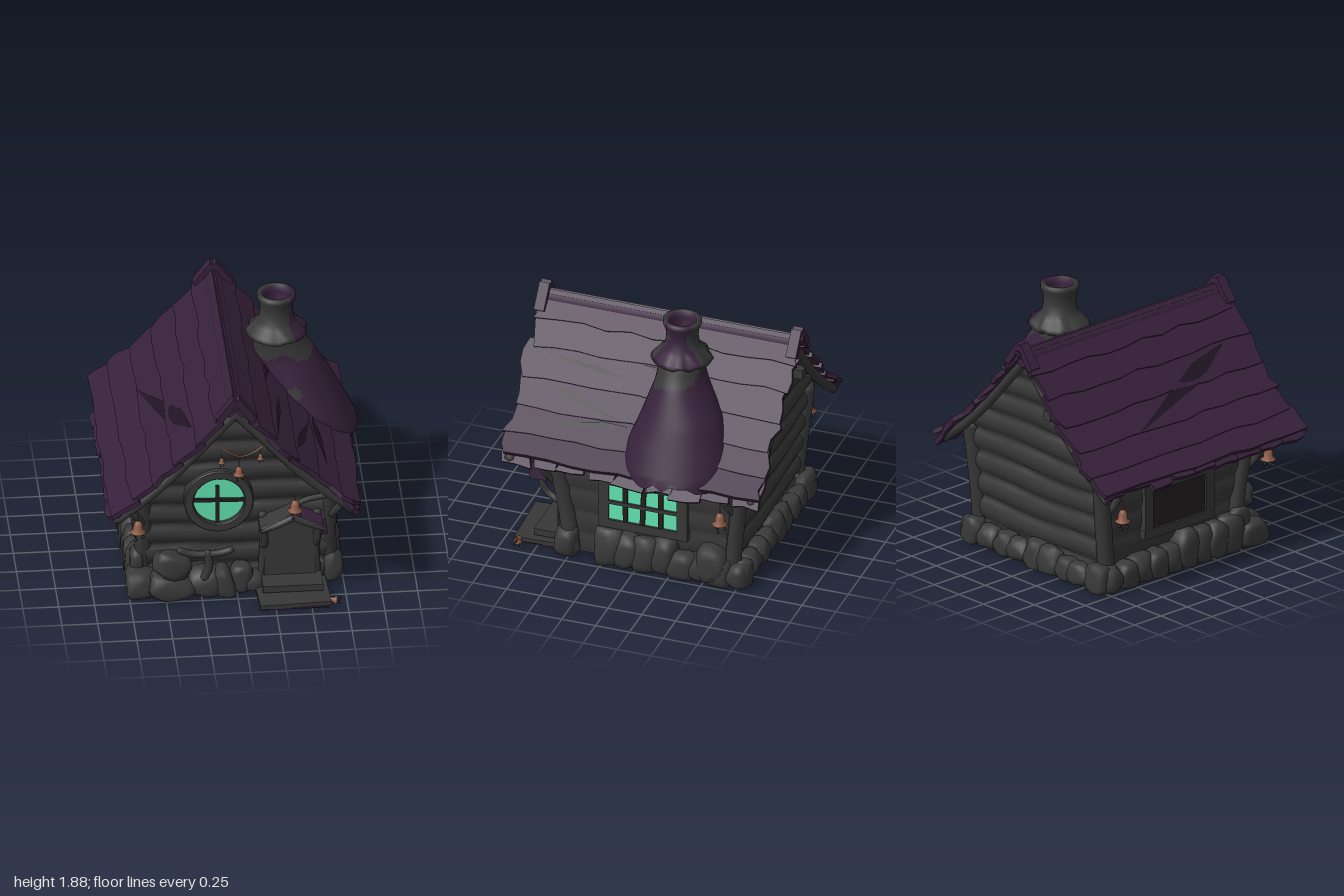
import * as THREE from 'three';
import { mergeGeometries, mergeVertices } from 'three/addons/utils/BufferGeometryUtils.js';

const mat = (name, color, side = THREE.FrontSide) => {
  const m = new THREE.MeshStandardMaterial({ color, side });
  m.name = name;
  return m;
};
const V = (x, y, z) => new THREE.Vector3(x, y, z);
const noise = (a, b = 0, c = 0) => {
  const n = Math.sin(a * 12.99 + b * 78.23 + c * 37.72) * 4375.85;
  return n - Math.floor(n) - 0.5;
};

// Roof profile: distance from the ridge and height
const RIDGE = -0.03;
const PROFILE = [[0, 1.645], [0.12, 1.52], [0.25, 1.37], [0.4, 1.205], [0.55, 1.055], [0.7, 0.925], [0.87, 0.8]];
const lerpTable = (t, v, from, to) => {
  for (let i = 1; i < t.length; i++) {
    const k = (v - t[i - 1][from]) / (t[i][from] - t[i - 1][from]);
    if (k <= 1 || i === t.length - 1) return t[i - 1][to] + (t[i][to] - t[i - 1][to]) * k;
  }
};
const roofY = d => lerpTable(PROFILE, d, 0, 1);
const roofD = y => Math.max(0.005, lerpTable(PROFILE, Math.min(y, 1.645), 1, 0));

// Moves every vertex by a rule
function warp(geo, rule, flat = false) {
  if (flat && geo.index) geo = geo.toNonIndexed();
  const p = geo.attributes.position, v = V(0, 0, 0);
  for (let i = 0; i < p.count; i++) {
    rule(v.fromBufferAttribute(p, i));
    p.setXYZ(i, v.x, v.y, v.z);
  }
  geo.computeVertexNormals();
  return geo;
}
// Joins seams for smooth shading
function weld(geo) {
  geo.deleteAttribute('uv'); geo.deleteAttribute('normal');
  geo = mergeVertices(geo, 1e-4);
  geo.computeVertexNormals();
  return geo;
}
// Splits faces into two material groups
function paint(source, test) {
  const geo = weld(source);
  const p = geo.attributes.position, ix = geo.index.array, sets = [[], []];
  for (let i = 0; i < ix.length; i += 3) {
    const c = V(0, 0, 0), v = V(0, 0, 0);
    for (let k = 0; k < 3; k++) c.add(v.fromBufferAttribute(p, ix[i + k]));
    sets[test(c.divideScalar(3)) ? 1 : 0].push(ix[i], ix[i + 1], ix[i + 2]);
  }
  geo.setIndex([...sets[0], ...sets[1]]);
  geo.clearGroups();
  geo.addGroup(0, sets[0].length, 0);
  geo.addGroup(sets[0].length, sets[1].length, 1);
  return geo;
}

export function createModel() {
  const root = new THREE.Group();
  const wood = mat('weathered wood', 0x383838, THREE.DoubleSide), stone = mat('stone', 0x3a3a3a);
  const dark = mat('dark wood', 0x221f21), purple = mat('purple roof', 0x37213b, THREE.DoubleSide);
  const crack = mat('roof crack', 0x211425, THREE.DoubleSide), glass = mat('green glass', 0x62e4b0);
  const copper = mat('copper', 0x8c5a45, THREE.DoubleSide);

  const add = (name, geo, m, pos = [0, 0, 0], parent = root) => {
    const mesh = new THREE.Mesh(geo, m);
    mesh.name = name;
    mesh.position.set(...pos);
    parent.add(mesh);
    return mesh;
  };
  const box = (name, w, h, d, m, pos, parent) => add(name, new THREE.BoxGeometry(w, h, d), m, pos, parent);
  const log = (name, pts, r, m = wood) => {
    const c = new THREE.CatmullRomCurve3(pts.map(p => V(...p)));
    const parts = [new THREE.TubeGeometry(c, 12, r, 8)];
    for (const p of [pts[0], pts[pts.length - 1]]) parts.push(new THREE.SphereGeometry(r, 8, 6).translate(...p));
    return add(name, mergeGeometries(parts), m);
  };

  // Walls of bulging boards, leaning outward as they rise
  const half = y => 0.61 + 0.0625 * y;
  const frontZ = y => 0.5 + 0.1375 * y, backZ = y => -0.68 - 0.0875 * y;
  const H = 0.175;
  const bulge = (y, u) => 0.045 * Math.pow(Math.abs(Math.sin(Math.PI * (y + 0.012 * Math.sin(u * 5 + y * 4)) / H)), 0.6);
  for (const s of [1, -1]) {
    add(s > 0 ? 'frontWall' : 'backWall', warp(new THREE.PlaneGeometry(2, 1, 14, 72), v => {
      const y = 0.03 + (v.y + 0.5) * 1.56, d = roofD(y + 0.04);
      const l = Math.max(-half(y), RIDGE - d), r = Math.min(half(y), RIDGE + d);
      const x = l + (v.x + 1) / 2 * (r - l);
      v.set(x * s, y, (s > 0 ? frontZ(y) : -backZ(y)) + bulge(y, x));
    }), wood).rotation.y = s > 0 ? 0 : Math.PI;
    add(s > 0 ? 'leftWall' : 'rightWall', warp(new THREE.PlaneGeometry(1, 1, 10, 40), v => {
      const y = 0.03 + (v.y + 0.5) * 0.9, z = backZ(y) + (v.x + 0.5) * (frontZ(y) - backZ(y));
      v.set(s * (half(y) + bulge(y, z) * 0.35), y, z);
    }), wood).scale.z = 1;
    // Corner posts and their forked brackets
    log('frontPost', [[s * 0.66, 0.07, 0.48], [s * 0.64, 0.4, 0.54], [s * 0.66, 0.87, 0.63]], 0.06);
    log('backPost', [[s * 0.64, 0.07, -0.69], [s * 0.64, 0.4, -0.72], [s * 0.66, 0.87, -0.77]], 0.06);
    for (const z of [0.66, -0.68]) log('bracket', [[s * 0.66, 0.58, z - 0.04], [s * 0.71, 0.66, z], [s * 0.76, 0.79, z + 0.02]], 0.028);
    // Barge logs under the gable edges
    for (const z of [0.89, -0.89]) {
      log('bargeLog', [0, 0.2, 0.4, 0.6, 0.82].map(d => [RIDGE + s * d, roofY(d) - 0.055, z]), z > 0 ? 0.045 : 0.035);
    }
  }
  box('floor', 1.24, 0.04, 1.2, wood, [0, 0.04, -0.09]);
  box('roofBeam', 0.07, 0.07, 1.3, wood, [RIDGE - roofD(1.3) + 0.09, 1.24, -0.25]);

  // Lapped roof planks with ragged ends
  const plank = (parent, d0, d1, z, len, seed, drop = 0) => {
    const y0 = roofY(d0), y1 = roofY(d1) - drop, L = Math.hypot(d1 - d0, y1 - y0) + 0.05;
    const g = warp(new THREE.BoxGeometry(L, 0.035, len, 3, 1, Math.max(2, Math.round(len * 6))), v => {
      const end = Math.abs(v.z) > len / 2 - 1e-3;
      if (v.x > L / 2 - 1e-3) v.x += 0.03 * noise(v.z, seed);
      if (end) v.z += 0.06 * noise(Math.round(v.x * 20), Math.sign(v.z), seed);
    }, true);
    const m = add('roofPlank', g, purple, [(d0 + d1) / 2, (y0 + y1) / 2 + 0.012, z], parent);
    m.rotation.z = Math.atan2(y1 - y0, d1 - d0) + 0.06;
  };
  // Long tapering splits: start distance and z, end distance and z, width
  const SPLITS = {
    '1': [[0.36, -0.55, 0.28, 0.1, 0.04], [0.58, 0.15, 0.45, 0.75, 0.05], [0.66, 0.7, 0.6, 0.1, 0.05], [0.3, 0.85, 0.36, 0.2, 0.03]],
    '-1': [[0.59, -0.38, 0.29, 0.7, 0.1]],
  };
  for (const s of [1, -1]) {
    const side = new THREE.Group();
    side.name = s > 0 ? 'leftRoof' : 'rightRoof';
    side.position.x = RIDGE;
    side.rotation.y = s > 0 ? 0 : Math.PI;
    root.add(side);
    for (let i = 0; i < 6; i++) plank(side, PROFILE[i][0], PROFILE[i + 1][0] - (i === 5 ? 0.03 : 0), 0.02 * noise(i, s), 1.9, i + s * 9);
    // Broken boards along the eave
    for (let i = 0; i < 9; i++) {
      const drop = (s > 0 ? 0.06 : 0.015) + 0.05 * Math.abs(noise(i, 4, s));
      plank(side, 0.72, 0.85 + 0.04 * noise(i, s), -0.84 + i * 0.21, 0.2, i * 3 + s, drop);
    }
    for (const [da, za, db, zb, w] of SPLITS[s]) {
      add('roofSplit', warp(new THREE.PlaneGeometry(1, 1, 1, 16), v => {
        const t = v.y + 0.5, d = da + (db - da) * t + v.x * w * Math.min(t / 0.7, (1 - t) / 0.3);
        v.set(d, roofY(d) + 0.045, s * (za + (zb - za) * t));
      }), crack, [0, 0, 0], side);
    }
    // Gable caps over both ridge ends
    for (const z of [0.93, -0.93]) {
      const cap = box('ridgeCap', 0.2, 0.05, 0.075, purple, [0.062, 1.64, z], side);
      cap.rotation.z = -0.93;
    }
  }
  const ridge = add('ridge', new THREE.CylinderGeometry(0.06, 0.06, 1.86, 10), purple, [RIDGE, 1.605, 0]);
  ridge.rotation.x = Math.PI / 2;

  // Chimney hood: y, left x, right x, front z, back z
  const HOOD = [[0.84, 0.3, 0.92, 0.12, -0.66], [1, 0.28, 0.84, 0.09, -0.62], [1.2, 0.23, 0.74, 0.02, -0.55],
    [1.42, 0.19, 0.62, -0.05, -0.42], [1.5, 0.185, 0.57, -0.06, -0.39], [1.6, 0.18, 0.52, -0.06, -0.38]];
  const hood = warp(new THREE.CylinderGeometry(1, 1, 1, 40, 28, true), v => {
    const y = 0.84 + (v.y + 0.5) * 0.76, [l, r, f, b] = [1, 2, 3, 4].map(k => lerpTable(HOOD, y, 0, k));
    const rag = v.y < -0.49 ? 0.06 * noise(Math.round(Math.atan2(v.x, v.z) * 5.1)) - 0.02 : 0;
    v.set((l + r) / 2 + (r - l) / 2 * v.x, y + rag, (f + b) / 2 + (f - b) / 2 * v.z);
  });
  add('chimneyHood', paint(hood, c => c.y > 1.46 - 0.22 * (c.z + 0.2) + 0.035 * Math.sin(c.x * 20)
    || Math.hypot(c.x - 0.46, c.y - 1.19) < 0.05 && c.z > -0.1), [purple, wood]);
  const stack = new THREE.LatheGeometry([[0.17, 1.55], [0.215, 1.575], [0.2, 1.6], [0.155, 1.65], [0.125, 1.68], [0.112, 1.75],
    [0.118, 1.81], [0.135, 1.85], [0.135, 1.88], [0.1, 1.88], [0.085, 1.84], [0.08, 1.7], [0.001, 1.7]].map(p => new THREE.Vector2(...p)), 32);
  warp(stack, v => {
    if (v.y < 1.61) {
      const n = noise(Math.round(Math.atan2(v.x, v.z) * 3.8) % 12), k = 1 + 0.1 * n;
      v.x *= k; v.z *= k; v.y += 0.03 * n;
    }
  });
  add('chimneyStack', paint(stack, c => {
    const r = Math.hypot(c.x, c.z);
    return r < 0.1 || c.x / r > (c.y < 1.68 ? 0.6 : 0.76 + 0.12 * Math.sin(c.y * 40));
  }), [wood, purple], [0.35, 0, -0.22]);

  // Round front window
  const round = new THREE.Group();
  round.name = 'roundWindow';
  round.position.set(-0.13, 0.77, 0.67);
  root.add(round);
  add('roundGlass', new THREE.CircleGeometry(0.185, 32), glass, [0, 0, 0.01], round);
  const ring = new THREE.Shape().absarc(0, 0, 0.235, 0, Math.PI * 2);
  ring.holes.push(new THREE.Path().absarc(0, 0, 0.185, 0, Math.PI * 2, true));
  add('roundFrame', new THREE.ExtrudeGeometry(ring, { depth: 0.08, bevelSize: 0.008, bevelThickness: 0.01, bevelSegments: 1, curveSegments: 28 }), wood, [0, 0, -0.04], round);
  box('mullion', 0.026, 0.29, 0.02, dark, [-0.01, -0.03, 0.02], round);
  box('crossbar', 0.36, 0.024, 0.02, dark, [0, 0, 0.022], round).rotation.z = -0.03;

  // Side window with eight panes, and a closed shutter opposite
  for (const s of [1, -1]) {
    const w = new THREE.Group();
    w.name = s > 0 ? 'sideWindow' : 'sideShutter';
    w.position.set(s * 0.662, 0.5, -0.05);
    w.rotation.y = s * Math.PI / 2;
    root.add(w);
    box('pane', 0.54, 0.3, 0.009, s > 0 ? glass : dark, [0, 0, 0.008], w);
    for (const k of [1, -1]) {
      box('frameRail', 0.66, 0.065, 0.06, wood, [0, k * 0.172, 0], w);
      box('frameStile', 0.075, 0.36, 0.06, wood, [k * 0.29, 0, 0], w);
    }
    if (s < 0) continue;
    for (const x of [-0.13, 0, 0.13]) box('mullion', 0.036, 0.3, 0.02, dark, [x, 0, 0.014], w).rotation.z = 0.08 * noise(x);
    box('crossbar', 0.54, 0.026, 0.025, wood, [0, 0, 0.016], w);
  }

  // Door with curved brackets, peaked canopy and steps
  box('door', 0.36, 0.56, 0.1, wood, [0.37, 0.34, 0.58]);
  for (const s of [1, -1]) {
    log('doorJamb', [[0.37 + s * 0.19, 0.08, 0.58], [0.37 + s * 0.18, 0.35, 0.6], [0.37 + s * 0.19, 0.6, 0.63]], 0.03);
    log('canopyBracket', [[0.37 + s * 0.19, 0.36, 0.63], [0.37 + s * 0.18, 0.41, 0.71], [0.37 + s * 0.19, 0.56, 0.77]], 0.025);
    log('canopyLog', [[0.38, 0.665, 0.8], [0.38 + s * 0.1, 0.615, 0.8], [0.38 + s * 0.21, 0.57, 0.79]], 0.025);
    const board = box('canopyBoard', 0.25, 0.025, 0.2, s > 0 ? purple : wood, [0.38 + s * 0.11, 0.62, 0.71]);
    board.rotation.z = -s * 0.42;
  }
  box('canopyFlap', 0.025, 0.12, 0.13, purple, [0.6, 0.59, 0.75]).rotation.z = 0.15;
  box('upperStep', 0.42, 0.05, 0.26, wood, [0.38, 0.085, 0.66]);
  box('lowerStep', 0.5, 0.03, 0.36, wood, [0.38, 0.03, 0.75]).rotation.y = 0.05;
  box('doorMat', 0.48, 0.009, 0.34, purple, [0.38, 0.008, 0.76]);

  // Forked dead branch by the door
  log('deadBranchTop', [[-0.4, 0.39, 0.72], [-0.32, 0.36, 0.72], [-0.12, 0.36, 0.72], [-0.05, 0.38, 0.72]], 0.026);
  log('deadBranchStem', [[-0.21, 0.36, 0.72], [-0.2, 0.26, 0.72], [-0.23, 0.17, 0.72]], 0.03);

  // Foundation stones
  let seed = 1;
  const rock = (x, y, z, rx, ry, rz, tilt = 0) => {
    const k = seed++;
    const g = warp(new THREE.IcosahedronGeometry(1, 2), v => {
      const n = 1 + 0.12 * Math.sin(v.x * 3 + k) + 0.1 * Math.sin(v.y * 4 + v.z * 3 + k * 2);
      v.multiplyScalar(n).clampScalar(-0.82, 0.82).multiplyScalar(1.12);
      v.multiply(V(rx, ry, rz)).applyAxisAngle(V(0, 0, 1), tilt);
      v.y = Math.max(v.y, 0.012 - y);
    });
    add('stone', weld(g), stone, [x, y, z]);
  };
  for (let i = 0; i < 9; i++) {
    const r = 0.1 + 0.04 * noise(i, 2), h = 0.15 + 0.08 * noise(i, 7);
    if (i < 8) rock(0.67, h * 0.8, 0.2 - i * 0.135, 0.09, h, r);
    rock(-0.67, h * 0.75, 0.42 - i * 0.14, 0.1, h, r);
    rock(-0.62 + i * 0.155, 0.09, -0.76, r, 0.11 + 0.06 * noise(i, 5), 0.08);
  }
  for (const a of [[-0.45, 0.27, 0.7, 0.15, 0.09, 0.1, -0.4], [-0.46, 0.09, 0.7, 0.17, 0.1, 0.11, -0.2], [-0.66, 0.09, 0.62, 0.12, 0.11, 0.13],
    [-0.69, 0.2, 0.5, 0.05, 0.12, 0.1], [-0.23, 0.09, 0.65, 0.12, 0.13, 0.11], [-0.1, 0.1, 0.68, 0.08, 0.13, 0.09, 0.3], [0.03, 0.1, 0.61, 0.1, 0.11, 0.09],
    [0.12, 0.06, 0.6, 0.08, 0.07, 0.1], [0.68, 0.11, 0.52, 0.07, 0.13, 0.09], [0.67, 0.16, -0.56, 0.1, 0.15, 0.12]]) rock(...a);

  // Hanging bells with small clappers
  const bellProfile = [[0.001, 0.05], [0.02, 0.045], [0.032, 0.02], [0.036, -0.02], [0.056, -0.035], [0.048, -0.042], [0.001, -0.03]].map(p => new THREE.Vector2(...p));
  const bell = (x, y, z, size = 1, cord = 0.1) => {
    const b = new THREE.Group();
    b.name = 'bell';
    b.position.set(x, y, z);
    b.scale.setScalar(size);
    root.add(b);
    add('bellBody', new THREE.LatheGeometry(bellProfile.slice().reverse(), 12), copper, [0, 0, 0], b);
    if (cord) add('cord', new THREE.CylinderGeometry(0.005, 0.005, cord, 5), copper, [0, 0.05 + cord / 2, 0], b);
    for (let i = 0; i < 3; i++) {
      const a = i * 2.1, px = 0.035 * Math.cos(a), pz = 0.035 * Math.sin(a);
      add('clapperCord', new THREE.CylinderGeometry(0.003, 0.003, 0.05, 4), dark, [px, -0.055, pz], b);
      add('clapper', new THREE.SphereGeometry(0.012, 6, 5), dark, [px, -0.083, pz], b);
    }
    return b;
  };
  bell(-0.7, 0.63, 0.78);
  bell(-0.83, 0.61, -0.72);
  bell(0.77, 0.58, -0.65);
  bell(0.38, 0.84, 0.94, 0.95, 0.06);
  bell(0.65, 0.035, 0.88, 0.6, 0).rotation.z = 1.4;
  log('bellHook', [[0.4, 0.84, 0.9], [0.48, 0.86, 0.88], [0.6, 0.87, 0.86]], 0.022);

  // Garland across the front gable
  log('garland', [[-0.14, 1.35, 0.91], [-0.1, 1.3, 0.92], [-0.01, 1.25, 0.92], [0.08, 1.27, 0.92], [0.16, 1.32, 0.91]], 0.007, copper);
  for (const [x, y, size] of [[-0.13, 1.22, 0.45], [-0.01, 1.13, 0.75], [0.14, 1.24, 0.45]]) bell(x, y, 0.92, size, 0.09);
  return root;
}
